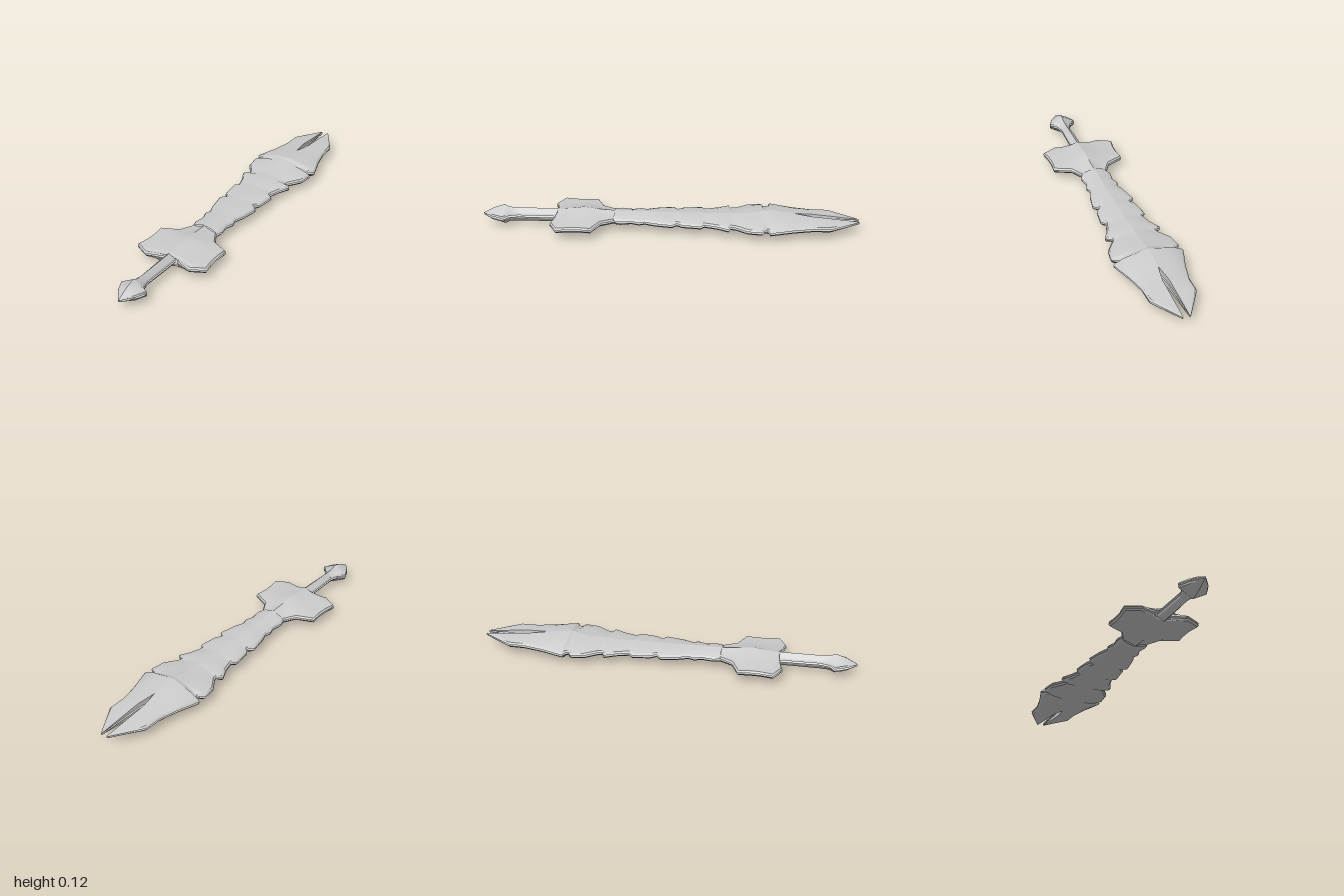
import * as THREE from 'three';

const MID = 0.062, RIM = 0.066, EDGE = 0.076;

// height of the centre ridge along the sword: [z, y]
const RIDGE = [[-1, 0.067], [-0.84, 0.083], [-0.65, 0.101], [-0.53, 0.12], [-0.42, 0.098],
  [-0.2, 0.093], [0.1, 0.094], [0.34, 0.098], [0.46, 0.113], [0.55, 0.1], [0.8, 0.1],
  [0.87, 0.104], [0.89, 0.121], [0.93, 0.1], [0.98, 0.095], [1, 0.067]];

function ridgeY(z) {
  for (let i = 1; i < RIDGE.length; i++) {
    const [z0, y0] = RIDGE[i - 1], [z1, y1] = RIDGE[i];
    if (z <= z1) return y0 + (y1 - y0) * (z - z0) / (z1 - z0);
  }
  return RIDGE.at(-1)[1];
}

// half width of the slit that splits the tip
const slitX = z => 0.016 * Math.min(1, Math.max(0, (-0.65 - z) / 0.1));

// outline rows: [x, z, notch (1 = valley)]
const BLADE = [[0.02, -1], [0.12, -0.84], [0.122, -0.75], [0.145, -0.65], [0.185, -0.53],
  [0.155, -0.515, 1], [0.15, -0.5, 1], [0.18, -0.485], [0.17, -0.41], [0.125, -0.345, 1],
  [0.118, -0.325, 1], [0.15, -0.31], [0.12, -0.25], [0.105, -0.2, 1], [0.1, -0.185, 1],
  [0.122, -0.165], [0.11, -0.07], [0.088, -0.04, 1], [0.115, -0.015], [0.097, 0.08],
  [0.078, 0.13, 1], [0.09, 0.16], [0.075, 0.2, 1], [0.085, 0.26], [0.073, 0.295]];
// guard rows: [x, z, 0, z at the centre]
const GUARD = [[0.073, 0.295], [0.11, 0.36], [0.2, 0.4], [0.195, 0.46], [0.197, 0.52],
  [0.207, 0.585, 0, 0.57], [0.13, 0.625, 0, 0.585], [0.04, 0.595, 0, 0.6]];
const HANDLE = [[0.03, 0.59], [0.029, 0.7], [0.026, 0.81]];
const POMMEL = [[0.026, 0.81], [0.04, 0.86], [0.077, 0.885], [0.052, 0.94], [0.004, 1]];

// [fraction of half width, fraction of ridge height] from centre to edge
const CONVEX = [[0, 1], [0.4, 0.76], [0.75, 0.48], [1, 0]];
const VALLEY = [[0, 1], [0.4, 0.68], [0.75, 0.28], [1, 0]];
const FLARED = [[0, 1], [0.3, 0.52], [0.65, 0.14], [1, 0]];
const STRAIGHT = [[0, 1], [0.5, 0.5], [1, 0]];

// one quarter of a part: face, bevelled rim and, at the tip, the slit wall
function quarterRows(rows, section, bevel) {
  return rows.map((row, i) => {
    const [x, z, notch, zc = z] = row;
    const a = rows[Math.max(0, i - 1)], b = rows[Math.min(rows.length - 1, i + 1)];
    const dx = b[0] - a[0], dz = b[1] - a[1], len = Math.hypot(dx, dz);
    const xi = slitX(zc), top = ridgeY(zc), edgeY = Math.min(EDGE, top);
    const ex = Math.max(xi, x - bevel * dz / len);
    const ends = i === 0 || i === rows.length - 1;
    const ez = ends ? z : z + bevel * dx / len;
    const face = (notch ? VALLEY : section).map(([t, h]) =>
      [xi + (ex - xi) * t, edgeY + (top - edgeY) * h, zc + (ez - zc) * t]);
    return { face, rim: [face.at(-1), [x, RIM, z]], wall: [[xi, RIM, zc], face[0]], split: xi > 0 };
  });
}

function strip(rows, sx, sy) {
  const n = rows[0].length, pos = [], idx = [];
  for (const row of rows)
    for (const [x, y, z] of row) pos.push(sx * x, MID + sy * (y - MID), z);
  for (let i = 0; i < rows.length - 1; i++)
    for (let j = 0; j < n - 1; j++) {
      const a = i * n + j, b = a + n, c = a + 1, d = b + 1;
      if (sx * sy > 0) idx.push(a, b, c, c, b, d);
      else idx.push(a, c, b, c, d, b);
    }
  const g = new THREE.BufferGeometry();
  g.setAttribute('position', new THREE.Float32BufferAttribute(pos, 3));
  g.setIndex(idx);
  g.computeVertexNormals();
  return g;
}

export function createModel() {
  const model = new THREE.Group();
  model.name = 'sword';
  const steel = new THREE.MeshStandardMaterial({ color: 0xcccccc, side: THREE.DoubleSide });
  steel.name = 'paleSteel';

  function addPart(name, rows, section, bevel) {
    const part = new THREE.Group();
    part.name = name;
    const quarter = quarterRows(rows, section, bevel);
    const add = (label, list, sx, sy) => {
      const mesh = new THREE.Mesh(strip(list, sx, sy), steel);
      mesh.name = label;
      part.add(mesh);
    };
    // mirror left and right, upper and lower shells
    for (const sx of [1, -1])
      for (const sy of [1, -1]) {
        add(name + 'Face', quarter.map(r => r.face), sx, sy);
        add(name + 'Bevel', quarter.map(r => r.rim), sx, sy);
        const slit = quarter.filter(r => r.split);
        if (slit.length) {
          const end = quarter[slit.length];
          add('slitWall', [...slit, end].map(r => r.wall), sx, sy);
        }
      }
    model.add(part);
  }

  addPart('blade', BLADE, CONVEX, 0.008);
  addPart('guard', GUARD, FLARED, 0.008);
  addPart('handle', HANDLE, STRAIGHT, 0.004);
  addPart('pommel', POMMEL, STRAIGHT, 0.004);
  return model;
}
